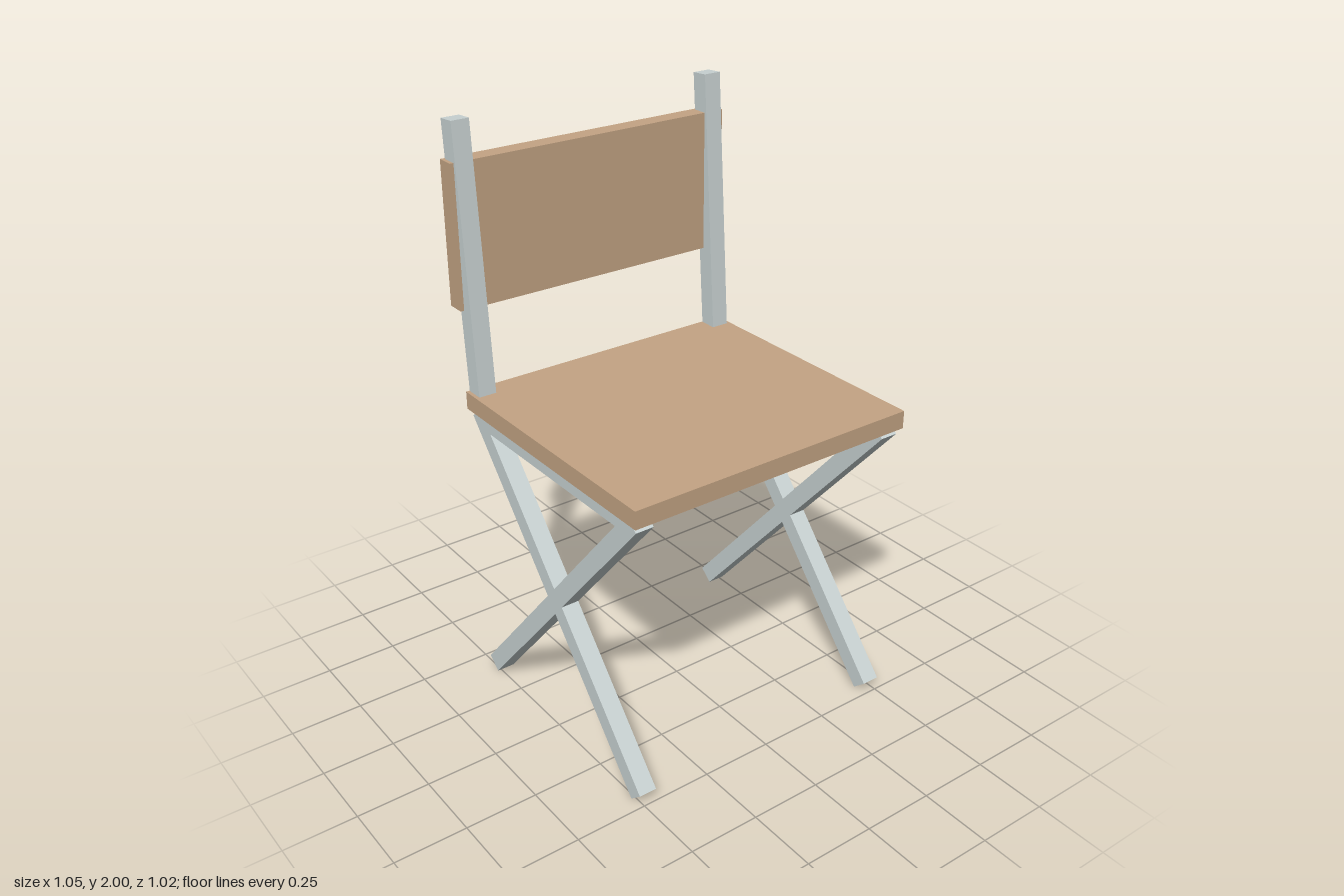
import * as THREE from 'three';

const BAR = 0.063; // thickness of the square metal bars

export function createModel() {
  const chair = new THREE.Group();
  chair.name = 'chair';

  const wood = new THREE.MeshStandardMaterial({ color: 0xc4a484 });
  wood.name = 'light wood';
  const metal = new THREE.MeshStandardMaterial({ color: 0xc9d3d3 });
  metal.name = 'pale metal';

  // Board spanning the given y and z ranges, centred on x = 0
  function board(name, y0, y1, z0, z1) {
    const mesh = new THREE.Mesh(new THREE.BoxGeometry(1.052, y1 - y0, z1 - z0), wood);
    mesh.name = name;
    mesh.position.set(0, (y0 + y1) / 2, (z0 + z1) / 2);
    chair.add(mesh);
  }

  // Square bar running between two [y, z] points in a side plane
  function bar(name, [y0, z0], [y1, z1], depth = BAR) {
    const dy = y1 - y0, dz = z1 - z0;
    const mesh = new THREE.Mesh(new THREE.BoxGeometry(BAR, Math.hypot(dy, dz), depth), metal);
    mesh.name = name;
    mesh.position.set(0, (y0 + y1) / 2, (z0 + z1) / 2);
    mesh.rotation.x = Math.atan2(dz, dy);
    return mesh;
  }

  board('seat', 1.038, 1.1, -0.45, 0.51);
  board('backrest', 1.385, 1.87, -0.509, -0.446);

  // Crossed legs, seat rail and leaning back post on each side
  for (const side of [1, -1]) {
    const frame = new THREE.Group();
    frame.name = side > 0 ? 'leftFrame' : 'rightFrame';
    frame.position.x = side * 0.482;
    frame.add(
      bar('frontFootLeg', [0.024, 0.471], [1.036, -0.411]),
      bar('backFootLeg', [0.024, -0.411], [1.036, 0.471]),
      bar('seatRail', [1.014, -0.39], [1.014, 0.45], 0.05),
      bar('backPost', [1.07, -0.414], [1.998, -0.477])
    );
    chair.add(frame);
  }

  return chair;
}
